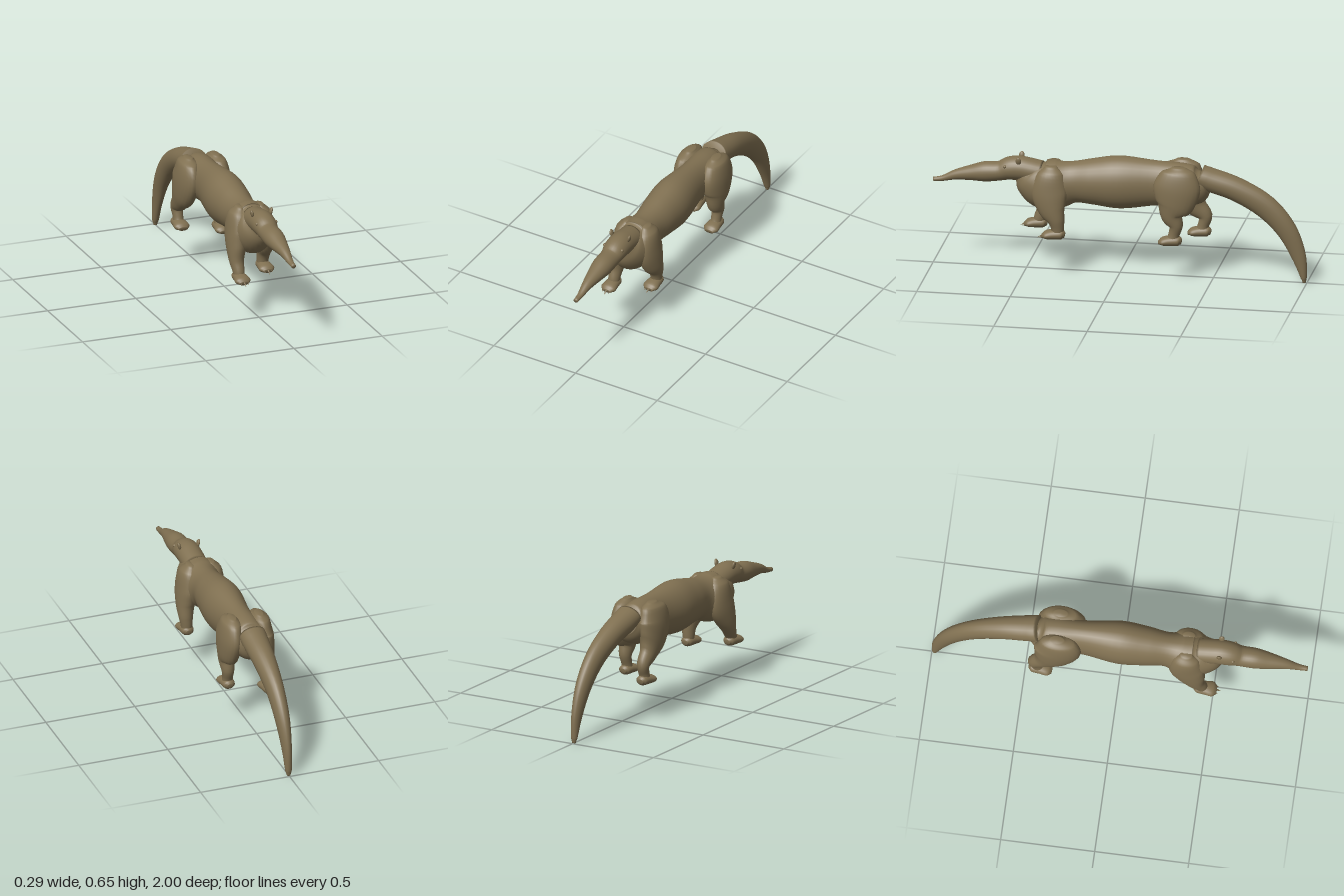
import * as THREE from 'three';

const hide = new THREE.MeshStandardMaterial({ color: 0x807051 });
hide.name = 'brown hide';

// Smooth elliptical tube. Rows: [x, y, z, half width, half depth], rings square to the path in the yz plane.
function loft(name, rows, steps = 5, sides = 24) {
  const path = new THREE.CatmullRomCurve3(rows.map(r => new THREE.Vector3(r[0], r[1], r[2])));
  const last = rows.length - 1;
  const n = last * steps;
  const pos = [], idx = [];
  const mix = (k, t) => {
    const i = Math.min(Math.floor(t * last + 1e-6), last - 1);
    const f = t * last - i;
    const at = j => rows[Math.max(0, Math.min(last, j))][k];
    const [a, b, c, d] = [at(i - 1), at(i), at(i + 1), at(i + 2)];
    const v = b + 0.5 * f * (c - a + f * (2 * a - 5 * b + 4 * c - d + f * (3 * (b - c) + d - a)));
    return Math.max(0.001, v);
  };
  for (let i = -1; i <= n + 1; i++) {
    const t = Math.max(0, Math.min(n, i)) / n;
    const p = path.getPoint(t), d = path.getTangent(t);
    const len = Math.hypot(d.y, d.z) || 1;
    const closed = i < 0 || i > n ? 0 : 1;
    const rx = mix(3, t) * closed, ry = mix(4, t) * closed;
    for (let j = 0; j < sides; j++) {
      const a = j / sides * Math.PI * 2;
      pos.push(p.x + Math.cos(a) * rx,
        p.y + Math.sin(a) * ry * d.z / len,
        p.z - Math.sin(a) * ry * d.y / len);
    }
  }
  for (let i = 0; i < n + 2; i++) {
    for (let j = 0; j < sides; j++) {
      const a = i * sides + j, b = i * sides + (j + 1) % sides;
      idx.push(a, b, a + sides, b, b + sides, a + sides);
    }
  }
  const g = new THREE.BufferGeometry();
  g.setAttribute('position', new THREE.Float32BufferAttribute(pos, 3));
  g.setIndex(idx);
  g.computeVertexNormals();
  const mesh = new THREE.Mesh(g, hide);
  mesh.name = name;
  return mesh;
}

function part(name, geometry, x, y, z) {
  const m = new THREE.Mesh(geometry, hide);
  m.name = name;
  m.position.set(x, y, z);
  return m;
}

// Foot with a rounded heel and broad toes
function foot(name, x, z) {
  return loft(name, [
    [x, 0.222, z - 0.06, 0.016, 0.014], [x, 0.225, z - 0.045, 0.032, 0.026],
    [x, 0.224, z, 0.038, 0.027], [x, 0.219, z + 0.04, 0.042, 0.022], [x, 0.212, z + 0.06, 0.026, 0.011]
  ]);
}

export function createModel() {
  const model = new THREE.Group();
  model.name = 'anteater';

  // Trunk, from rump to chest and neck
  model.add(loft('body', [
    [0, 0.53, -0.46, 0.06, 0.06], [0, 0.515, -0.42, 0.085, 0.1], [0, 0.507, -0.33, 0.095, 0.12],
    [0, 0.51, -0.2, 0.085, 0.122], [0, 0.504, 0, 0.11, 0.143], [0, 0.498, 0.15, 0.1, 0.124],
    [0, 0.49, 0.25, 0.088, 0.112], [0, 0.475, 0.33, 0.108, 0.13], [0, 0.47, 0.41, 0.108, 0.133],
    [0, 0.5, 0.48, 0.085, 0.1], [0, 0.535, 0.52, 0.05, 0.055]
  ], 5, 32));

  // Head and long tapering snout
  model.add(loft('head', [
    [0, 0.535, 0.42, 0.065, 0.06], [0, 0.545, 0.48, 0.066, 0.062], [0, 0.551, 0.54, 0.066, 0.065],
    [0, 0.546, 0.59, 0.064, 0.062], [0, 0.53, 0.64, 0.056, 0.052], [0, 0.521, 0.72, 0.055, 0.054],
    [0, 0.511, 0.79, 0.045, 0.042], [0, 0.494, 0.88, 0.028, 0.027],
    [0, 0.47, 0.95, 0.017, 0.015], [0, 0.462, 0.998, 0.013, 0.012]
  ], 5, 28));

  // Tail, arching down to the ground
  model.add(loft('tail', [
    [0, 0.563, -0.43, 0.072, 0.06], [0, 0.545, -0.48, 0.07, 0.064], [0, 0.5, -0.62, 0.06, 0.064],
    [0, 0.41, -0.78, 0.047, 0.064], [0, 0.29, -0.89, 0.038, 0.055],
    [0, 0.15, -0.955, 0.026, 0.04], [0, 0.03, -0.983, 0.018, 0.017], [0, 0.002, -0.986, 0.01, 0.009]
  ]));

  for (const s of [1, -1]) {
    const side = s > 0 ? 'left' : 'right';
    // Right legs are mid-stride: front foot forward, hind foot back
    const f = s > 0 ? 0 : 0.125, h = s > 0 ? 0 : -0.125;

    model.add(loft(side + 'FrontLeg', [
      [s * 0.055, 0.59, 0.36, 0.02, 0.03], [s * 0.068, 0.55, 0.36, 0.045, 0.07],
      [s * 0.08, 0.45, 0.365, 0.05, 0.095], [s * 0.087, 0.365, 0.35 + f * 0.35, 0.048, 0.075],
      [s * 0.094, 0.3, 0.325 + f * 0.75, 0.038, 0.045],
      [s * 0.092, 0.25, 0.318 + f, 0.031, 0.034], [s * 0.092, 0.22, 0.322 + f, 0.03, 0.034]
    ]));
    model.add(foot(side + 'FrontFoot', s * 0.092, 0.34 + f));

    model.add(loft(side + 'HindLeg', [
      [s * 0.075, 0.628, -0.325, 0.02, 0.035], [s * 0.08, 0.6, -0.325, 0.047, 0.09],
      [s * 0.087, 0.52, -0.32, 0.058, 0.125], [s * 0.092, 0.43, -0.31 + h * 0.3, 0.054, 0.105],
      [s * 0.094, 0.365, -0.295 + h * 0.75, 0.043, 0.062], [s * 0.094, 0.31, -0.315 + h, 0.034, 0.038],
      [s * 0.092, 0.26, -0.305 + h, 0.028, 0.03], [s * 0.092, 0.22, -0.295 + h, 0.03, 0.034]
    ]));
    model.add(foot(side + 'HindFoot', s * 0.092, -0.285 + h));

    // Front claws, the middle one longest
    for (const k of [-1, 0, 1]) {
      const len = k === 0 ? 0.055 : 0.036;
      const claw = part(side + 'Claw', new THREE.ConeGeometry(k === 0 ? 0.009 : 0.006, len, 10),
        s * 0.092 + k * 0.02, 0.214, 0.398 + f + (k === 0 ? 0.006 : 0));
      claw.rotation.x = Math.PI / 2 + 0.5;
      model.add(claw);
    }

    // Small upright ear and bead eye
    const ear = part(side + 'Ear', new THREE.SphereGeometry(1, 14, 10), s * 0.053, 0.604, 0.535);
    ear.scale.set(0.009, 0.022, 0.015);
    ear.rotation.z = -s * 0.25;
    model.add(ear);
    const eye = part(side + 'Eye', new THREE.SphereGeometry(0.009, 14, 10), s * 0.053, 0.57, 0.607);
    model.add(eye);
  }
  return model;
}
